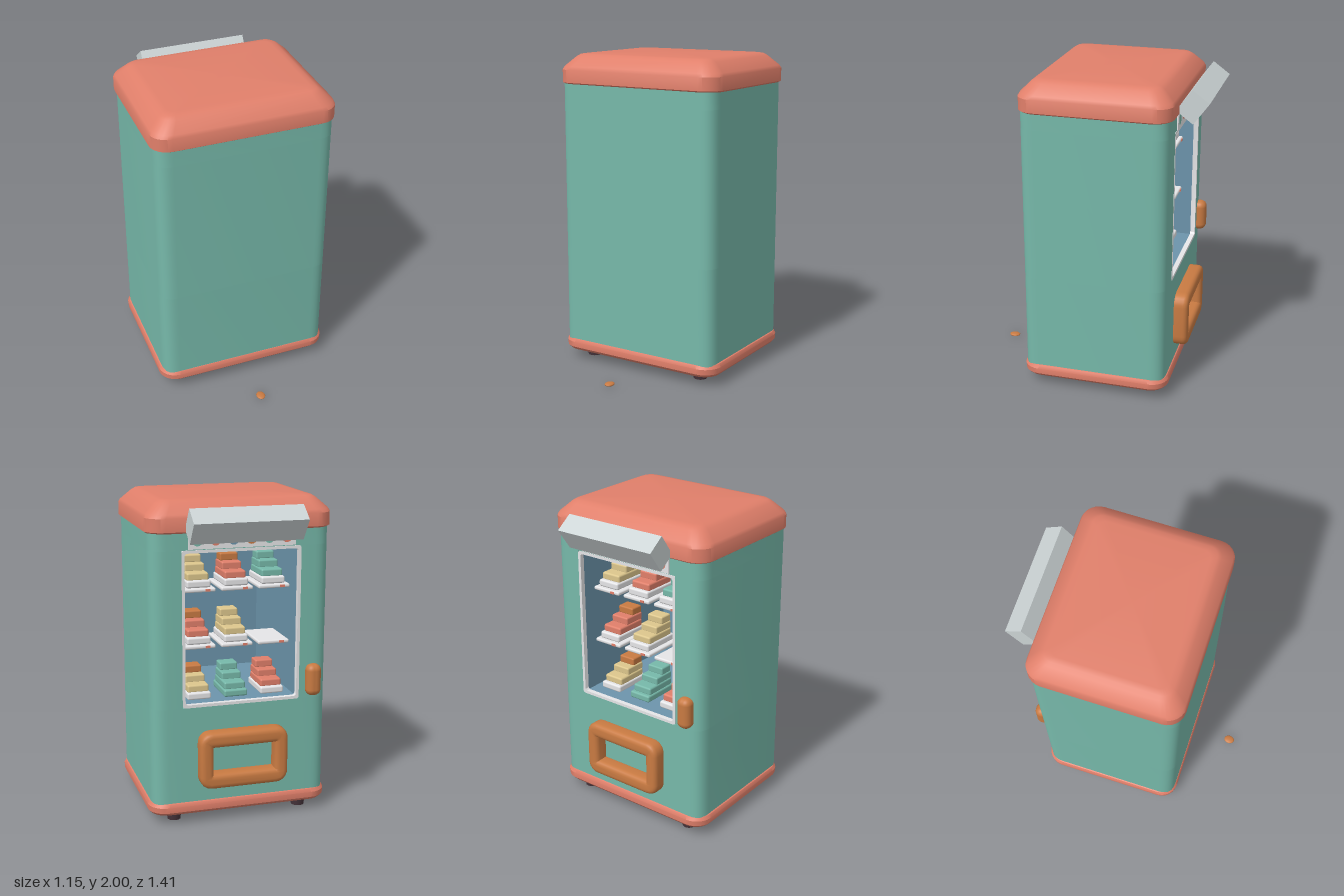
import * as THREE from 'three';
import { toCreasedNormals } from 'three/addons/utils/BufferGeometryUtils.js';
import { RoundedBoxGeometry } from 'three/addons/geometries/RoundedBoxGeometry.js';

const paint = (name, color) => {
  const m = new THREE.MeshStandardMaterial({ color });
  m.name = name;
  return m;
};

// Closed solid lofted through rounded rectangles [y, halfX, halfZ, cornerRadius]
function loft(layers, cz) {
  const S = 6, N = 4 * (S + 1), pos = [], idx = [];
  for (const [y, hx, hz, r] of layers) {
    for (let q = 0; q < 4; q++) {
      const sx = q === 0 || q === 3 ? 1 : -1, sz = q < 2 ? 1 : -1;
      for (let i = 0; i <= S; i++) {
        const a = (q + i / S) * Math.PI / 2;
        pos.push(sx * (hx - r) + r * Math.cos(a), y, cz + sz * (hz - r) + r * Math.sin(a));
      }
    }
  }
  for (let k = 0; k < layers.length - 1; k++) {
    for (let j = 0; j < N; j++) {
      const a = k * N + j, b = k * N + (j + 1) % N;
      idx.push(a, a + N, b, b, a + N, b + N);
    }
  }
  const last = (layers.length - 1) * N, c = layers.length * N;
  pos.push(0, layers[0][0], cz, 0, layers[layers.length - 1][0], cz);
  for (let j = 0; j < N; j++) {
    const n = (j + 1) % N;
    idx.push(c, j, n, c + 1, last + n, last + j);
  }
  const g = new THREE.BufferGeometry();
  g.setAttribute('position', new THREE.Float32BufferAttribute(pos, 3));
  g.setIndex(idx);
  return toCreasedNormals(g, 0.55);
}

// Rounded rectangle path around the origin
function roundRect(path, hx, hy, r) {
  path.moveTo(-hx + r, -hy);
  path.lineTo(hx - r, -hy).quadraticCurveTo(hx, -hy, hx, -hy + r);
  path.lineTo(hx, hy - r).quadraticCurveTo(hx, hy, hx - r, hy);
  path.lineTo(-hx + r, hy).quadraticCurveTo(-hx, hy, -hx, hy - r);
  path.lineTo(-hx, -hy + r).quadraticCurveTo(-hx, -hy, -hx + r, -hy);
  return path;
}

function ring(hx, hy, r, ix, iy, ir, depth, bevel) {
  const s = roundRect(new THREE.Shape(), hx - bevel, hy - bevel, r);
  s.holes.push(roundRect(new THREE.Path(), ix + bevel, iy + bevel, ir));
  const g = new THREE.ExtrudeGeometry(s, {
    depth: depth - 2 * bevel, bevelEnabled: bevel > 0, bevelThickness: bevel,
    bevelSize: bevel, bevelSegments: 4, curveSegments: 6
  });
  g.translate(0, 0, bevel - depth / 2);
  return toCreasedNormals(g, 0.7);
}

// Slice of the cabinet between two heights, with or without the display notch
function cabinetSlice(y0, y1, notch) {
  const hx = 0.558, f = 0.512, b = -0.4, r = 0.1, w = 0.37;
  const s = new THREE.Shape();
  s.moveTo(-w, f);
  s.lineTo(-hx + r, f).quadraticCurveTo(-hx, f, -hx, f - r);
  s.lineTo(-hx, b + r).quadraticCurveTo(-hx, b, -hx + r, b);
  s.lineTo(hx - r, b).quadraticCurveTo(hx, b, hx, b + r);
  s.lineTo(hx, f - r).quadraticCurveTo(hx, f, hx - r, f);
  s.lineTo(w, f);
  if (notch) s.lineTo(w, -0.32).lineTo(-w, -0.32);
  const g = new THREE.ExtrudeGeometry(s, { depth: y1 - y0, bevelEnabled: false, curveSegments: 8 });
  g.rotateX(-Math.PI / 2).translate(0, y0, 0);
  return toCreasedNormals(g, 0.5);
}

export function createModel() {
  const coral = paint('coral', 0xe07f6a), teal = paint('teal', 0x76b8a9),
    orange = paint('orange', 0xc87a42), grey = paint('lightGrey', 0xccd4d5),
    dark = paint('darkBrown', 0x45333a), blue = paint('slateBlue', 0x6c94ab),
    tan = paint('tan', 0xdcc68c), white = paint('white', 0xeaeaec);
  const model = new THREE.Group();
  const add = (name, geo, mat, x = 0, y = 0, z = 0, parent = model) => {
    const m = new THREE.Mesh(geo, mat);
    m.name = name;
    m.position.set(x, y, z);
    parent.add(m);
    return m;
  };
  const box = (w, h, d) => new THREE.BoxGeometry(w, h, d);
  const Y0 = 0.75, Y1 = 1.71, YM = (Y0 + Y1) / 2, H = Y1 - Y0;

  // Cabinet, open at the display window
  add('cabinetLower', cabinetSlice(0.13, Y0, false), teal);
  add('cabinetMiddle', cabinetSlice(Y0, Y1, true), teal);
  add('cabinetUpper', cabinetSlice(Y1, 1.83, false), teal);

  // Plinth, roof and feet
  add('plinth', loft([[0.055, 0.53, 0.425, 0.09], [0.065, 0.555, 0.45, 0.1], [0.085, 0.573, 0.468, 0.11],
    [0.12, 0.575, 0.47, 0.11], [0.14, 0.565, 0.46, 0.11], [0.15, 0.545, 0.44, 0.1]], -0.058), coral);
  add('roof', loft([[1.81, 0.56, 0.455, 0.1], [1.82, 0.575, 0.47, 0.11], [1.9, 0.575, 0.47, 0.11],
    [1.92, 0.565, 0.46, 0.11], [1.98, 0.5, 0.4, 0.08], [1.995, 0.475, 0.375, 0.06], [2, 0.44, 0.34, 0.05]], -0.058), coral);
  for (const x of [-0.41, 0.41]) {
    for (const z of [-0.42, 0.265]) add('foot', new THREE.CylinderGeometry(0.047, 0.042, 0.055, 12), dark, x, 0.035, z);
  }

  // Lining of the display compartment
  add('liningBack', box(0.74, H, 0.008), blue, 0, YM, 0.315);
  for (const s of [-1, 1]) add('liningSide', box(0.008, H, 0.8), blue, s * 0.366, YM, -0.085);
  add('liningFloor', box(0.74, 0.008, 0.8), blue, 0, Y0 + 0.004, -0.085);
  add('liningCeiling', box(0.74, 0.008, 0.8), blue, 0, Y1 - 0.004, -0.085);
  add('ceilingVent', box(0.3, 0.012, 0.1), dark, 0, Y1 - 0.012, -0.36);
  add('windowFrame', ring(0.37, H / 2, 0.02, 0.352, H / 2 - 0.018, 0.02, 0.03, 0), white, 0, YM, -0.499);

  // Sign panel below the awning
  add('signPanel', box(0.66, 0.1, 0.009), white, 0, 1.765, -0.515);
  [coral, teal, orange, blue, coral, teal].forEach((m, i) => {
    const dot = add('signDot', new THREE.CircleGeometry(0.032, 16), m, -0.275 + i * 0.11, 1.765, -0.521);
    dot.rotation.y = Math.PI;
  });

  // Tilted awning
  add('awning', box(0.69, 0.161, 0.129), grey, 0, 1.863, -0.605).rotation.x = -0.63;

  // Stepped shoes, toes toward the window
  const shoe = (x, y, upper, heel, sole) => {
    const g = new THREE.Group();
    g.name = 'shoe';
    g.position.set(x, y, -0.27);
    add('sole', new RoundedBoxGeometry(0.15, 0.045, 0.26, 2, 0.012), sole, 0, 0.022, 0, g);
    add('toe', new RoundedBoxGeometry(0.135, 0.05, 0.22, 2, 0.012), upper, 0, 0.062, 0.005, g);
    add('instep', new RoundedBoxGeometry(0.125, 0.05, 0.15, 2, 0.01), upper, 0, 0.105, 0.045, g);
    add('heel', new RoundedBoxGeometry(0.115, 0.05, 0.09, 2, 0.01), heel, 0, 0.15, 0.075, g);
    model.add(g);
  };
  const rows = [
    [0.76, [[coral, coral, white], [teal, teal, teal], [tan, orange, white]]],
    [1.11, [null, [tan, tan, white], [coral, orange, white]]],
    [1.46, [[teal, teal, white], [coral, orange, white], [tan, tan, white]]]
  ];
  rows.forEach(([y, shoes], r) => shoes.forEach((s, c) => {
    const x = (c - 1) * 0.235;
    if (r > 0) {
      add('tray', new RoundedBoxGeometry(0.2, 0.024, 0.3, 2, 0.01), white, x, y - 0.012, -0.27);
      add('trayUnderside', box(0.17, 0.006, 0.27), blue, x, y - 0.025, -0.27);
      add('trayTag', box(0.03, 0.014, 0.006), coral, x - 0.05, y - 0.012, -0.421);
    }
    if (s) shoe(x, y, ...s);
  }));

  // Collection hatch, handle and coin
  add('hatchFrame', ring(0.28, 0.18, 0.05, 0.195, 0.085, 0.025, 0.11, 0.03), orange, 0, 0.42, -0.545);
  add('handle', new RoundedBoxGeometry(0.095, 0.2, 0.09, 4, 0.04), orange, -0.457, 0.87, -0.525);
  const coin = add('coin', new THREE.SphereGeometry(1, 16, 10), orange, 0, 0.012, 0.67);
  coin.scale.set(0.029, 0.011, 0.036);

  return model;
}
